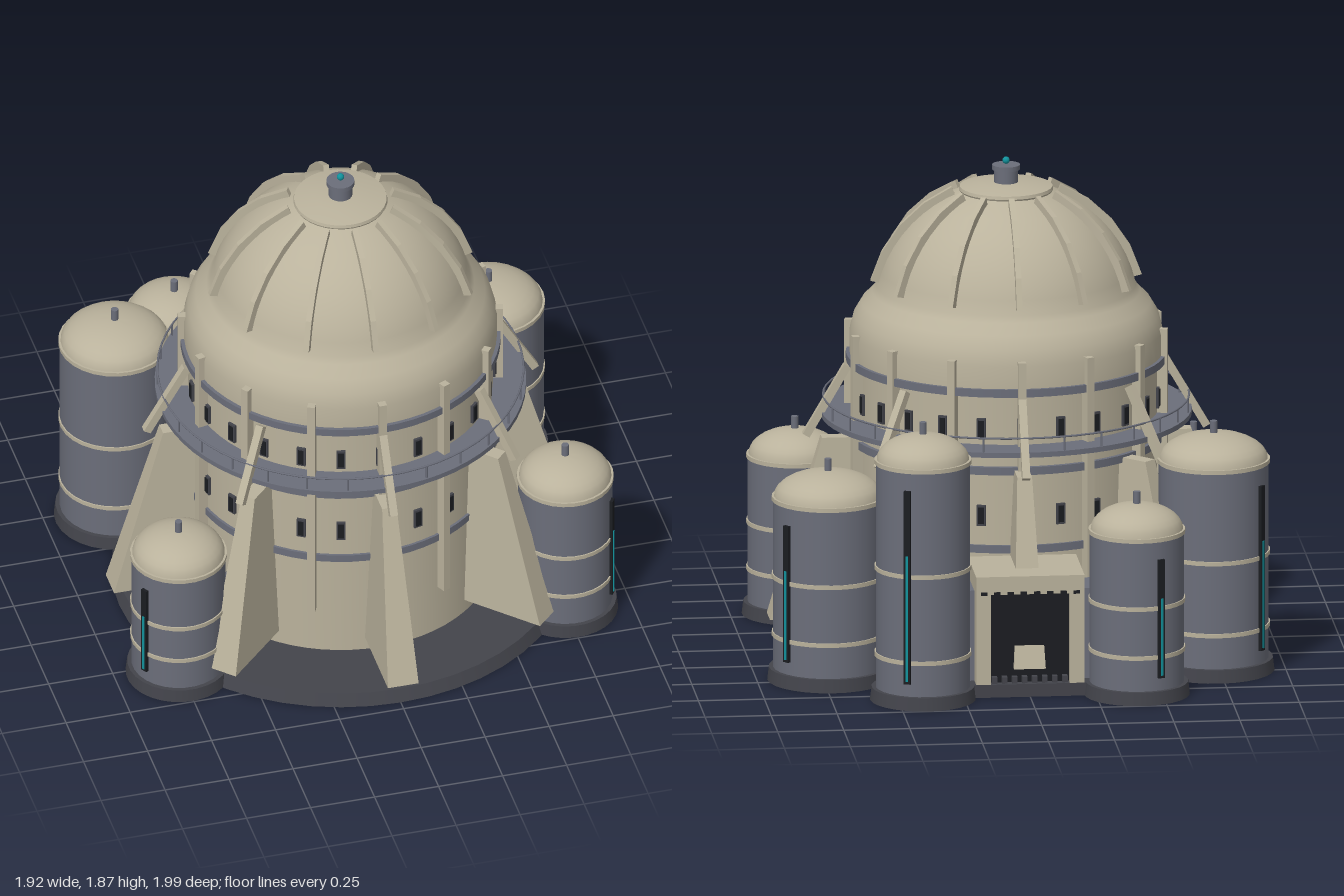
import * as THREE from 'three';
import { toCreasedNormals } from 'three/addons/utils/BufferGeometryUtils.js';

const mat = (color) => new THREE.MeshStandardMaterial({ color });
const beige = mat(0xbab29c), steel = mat(0x6b6e7a), slate = mat(0x43444b);
const black = mat(0x1b1d21), cyan = mat(0x12929c);

function add(parent, name, geometry, material, x = 0, y = 0, z = 0) {
  const m = new THREE.Mesh(geometry, material);
  m.name = name;
  m.position.set(x, y, z);
  parent.add(m);
  return m;
}
const box = (w, h, d) => new THREE.BoxGeometry(w, h, d);
const cyl = (rt, rb, h, n = 32) => new THREE.CylinderGeometry(rt, rb, h, n);
const lathe = (pts, n) => toCreasedNormals(
  new THREE.LatheGeometry(pts.map(([x, y]) => new THREE.Vector2(x, y)), n), 0.6);

// Repeats a part around the vertical axis; local +z points outward
function around(parent, name, count, build) {
  for (let i = 0; i < count; i++) {
    const g = new THREE.Group();
    g.name = name;
    g.rotation.y = (i / count) * Math.PI * 2;
    build(g);
    parent.add(g);
  }
}

// Round bar between two points
function bar(parent, name, a, b, r, material) {
  const p = new THREE.Vector3(...a), q = new THREE.Vector3(...b);
  const m = add(parent, name, cyl(r, r, p.distanceTo(q), 10), material);
  m.position.lerpVectors(p, q, 0.5);
  m.quaternion.setFromUnitVectors(new THREE.Vector3(0, 1, 0), q.sub(p).normalize());
}

// Tapered fin: wide and deep at the foot, narrow at the top
function buttressGeometry() {
  const g = box(1, 1, 1).toNonIndexed(), p = g.attributes.position;
  for (let i = 0; i < p.count; i++) {
    const top = p.getY(i) > 0, outer = p.getZ(i) > 0;
    p.setXYZ(i, Math.sign(p.getX(i)) * (top ? 0.028 : 0.06), top ? 0.8 : 0.105,
      outer ? (top ? 0.7 : 0.9) : 0.54);
  }
  g.computeVertexNormals();
  return g;
}

// Curved rib following the dome
function ribGeometry() {
  const s = new THREE.Shape(), a0 = 0.25, a1 = 1.17, n = 4;
  const at = (r, a) => [r * Math.cos(a), r * Math.sin(a)];
  s.moveTo(...at(0.48, a0));
  for (let i = 0; i <= n; i++) s.lineTo(...at(0.53, a0 + (a1 - a0) * i / n));
  for (let i = n; i >= 0; i--) s.lineTo(...at(0.48, a0 + (a1 - a0) * i / n));
  const g = new THREE.ExtrudeGeometry(s, { depth: 0.022, bevelEnabled: false });
  g.translate(0, 0, -0.011);
  return g.rotateY(-Math.PI / 2);
}

function buildTower(parent) {
  const t = new THREE.Group();
  t.name = 'tower';
  t.position.z = 0.095;
  parent.add(t);

  add(t, 'baseDisc', cyl(0.845, 0.865, 0.05, 48), slate, 0, 0.025);

  // Drum, shoulder and spherical dome in one profile
  const pts = [[0.575, 0.05], [0.575, 1.09], [0.59, 1.1], [0.59, 1.2], [0.575, 1.26], [0.545, 1.31], [0.505, 1.35]];
  for (let i = 0; i <= 9; i++) {
    const a = 0.21 + (1.22 - 0.21) * i / 9;
    pts.push([0.5 * Math.cos(a), 1.27 + 0.5 * Math.sin(a)]);
  }
  add(t, 'shell', lathe(pts, 64), beige);
  add(t, 'crownCap', lathe([[0.16, 1.71], [0.178, 1.745], [0.175, 1.757], [0.1, 1.77], [0, 1.773]], 32), beige);
  add(t, 'ventStack', cyl(0.045, 0.045, 0.07, 20), steel, 0, 1.8);
  add(t, 'ventLip', cyl(0.053, 0.053, 0.018, 20), steel, 0, 1.83);
  add(t, 'beacon', new THREE.SphereGeometry(0.014, 12, 8), cyan, 0, 1.855);

  // Dark hoops around the drum
  for (const [y, r] of [[0.49, 0.585], [0.795, 0.592], [1.1, 0.604]])
    add(t, 'hoop', cyl(r, r, 0.03, 64), steel, 0, y);

  // Gallery deck with thin handrail
  add(t, 'galleryDeck', lathe([[0.57, 0.875], [0.7, 0.875], [0.7, 0.895], [0.57, 0.895]], 64), steel);
  const rail = add(t, 'handrail', new THREE.TorusGeometry(0.69, 0.004, 6, 64), steel, 0, 0.948);
  rail.rotation.x = Math.PI / 2;
  around(t, 'railPost', 28, (g) => add(g, 'post', cyl(0.004, 0.004, 0.055, 6), steel, 0, 0.92, 0.69));

  around(t, 'pilaster', 14, (g) => add(g, 'pilasterBar', box(0.03, 0.97, 0.05), beige, 0, 0.735, 0.588));
  around(t, 'windowColumn', 24, (g) => {
    for (const y of [0.62, 0.957]) {
      add(g, 'windowFrame', box(0.034, 0.08, 0.03), slate, 0, y, 0.57);
      add(g, 'windowPane', box(0.022, 0.064, 0.03), black, 0, y, 0.573);
    }
  });

  const fin = buttressGeometry(), rib = ribGeometry();
  around(t, 'buttress', 8, (g) => {
    add(g, 'buttressFin', fin, beige);
    const strut = add(g, 'galleryStrut', box(0.03, 0.31, 0.03), beige, 0, 0.94, 0.68);
    strut.rotation.x = -0.53;
  });
  around(t, 'domeRib', 12, (g) => add(g, 'rib', rib, beige, 0, 1.27));
}

function buildTank(parent, x, z, r, top) {
  const g = new THREE.Group(), h = top - 0.1;
  g.name = 'storageTank';
  g.position.set(x, 0, z);
  g.rotation.y = Math.atan2(x, z - 0.095); // level strip faces away from the tower
  parent.add(g);
  add(g, 'tankFoot', cyl(r + 0.016, r + 0.022, 0.05, 28), slate, 0, 0.025);
  add(g, 'tankBody', cyl(r, r, h - 0.05, 28), steel, 0, (h + 0.05) / 2);
  const dome = [];
  for (let i = 0; i <= 8; i++) {
    const a = i / 8 * Math.PI / 2;
    dome.push([Math.max(0, (r - 0.003) * Math.cos(a)), h + 0.1 * Math.sin(a)]);
  }
  add(g, 'tankDome', lathe(dome, 28), beige);
  add(g, 'tankNozzle', cyl(0.014, 0.014, 0.07, 12), steel, 0, top + 0.01);
  for (const y of [0.18, (h + 0.1) / 2, h - 0.005])
    add(g, 'tankHoop', cyl(r + 0.005, r + 0.005, 0.016, 28), beige, 0, y);
  const len = h - 0.18;
  add(g, 'levelStrip', box(0.026, len, 0.02), black, 0, 0.1 + len / 2, r + 0.001);
  add(g, 'levelGlow', box(0.01, len * 0.65, 0.02), cyan, 0, 0.11 + len * 0.325, r + 0.004);
}

function buildEntrance(parent) {
  const e = new THREE.Group();
  e.name = 'entrance';
  parent.add(e);
  add(e, 'entranceRoof', box(0.41, 0.07, 0.32), beige, 0, 0.435, -0.66);
  add(e, 'entranceSill', box(0.44, 0.05, 0.25), slate, 0, 0.025, -0.69);
  add(e, 'door', box(0.3, 0.36, 0.22), black, 0, 0.22, -0.67);
  for (const s of [-1, 1]) {
    add(e, 'doorJamb', box(0.055, 0.36, 0.31), beige, s * 0.177, 0.225, -0.66);
    add(e, 'sideBlock', box(0.07, 0.36, 0.16), steel, s * 0.24, 0.22, -0.665);
    bar(parent, 'feedPipe', [s * 0.45, 0.42, -0.64], [s * 0.45, 0.42, -0.3], 0.014, steel);
  }
  // Studs along the threshold and roof edge
  for (let i = 0; i < 8; i++) {
    add(e, 'thresholdStud', box(0.02, 0.025, 0.03), slate, -0.133 + i * 0.038, 0.063, -0.79);
    add(e, 'roofStud', box(0.024, 0.012, 0.012), black, -0.175 + i * 0.05, 0.405, -0.82);
  }
}

export function createModel() {
  const model = new THREE.Group();
  model.name = 'reactorStation';
  buildTower(model);
  buildEntrance(model);
  const tanks = [
    [-0.405, -0.8, 0.178, 0.74], [0.405, -0.8, 0.178, 1.03],
    [-0.73, -0.46, 0.208, 0.92], [0.73, -0.46, 0.208, 0.81],
    [-0.755, 0.545, 0.178, 0.66], [0.755, 0.545, 0.178, 0.72],
  ];
  for (const [x, z, r, top] of tanks) {
    buildTank(model, x, z, r, top);
    const d = new THREE.Vector2(x, z - 0.095).normalize();
    bar(model, 'tankPipe', [x, 0.3, z], [d.x * 0.56, 0.3, 0.095 + d.y * 0.56], 0.016, steel);
  }
  return model;
}
